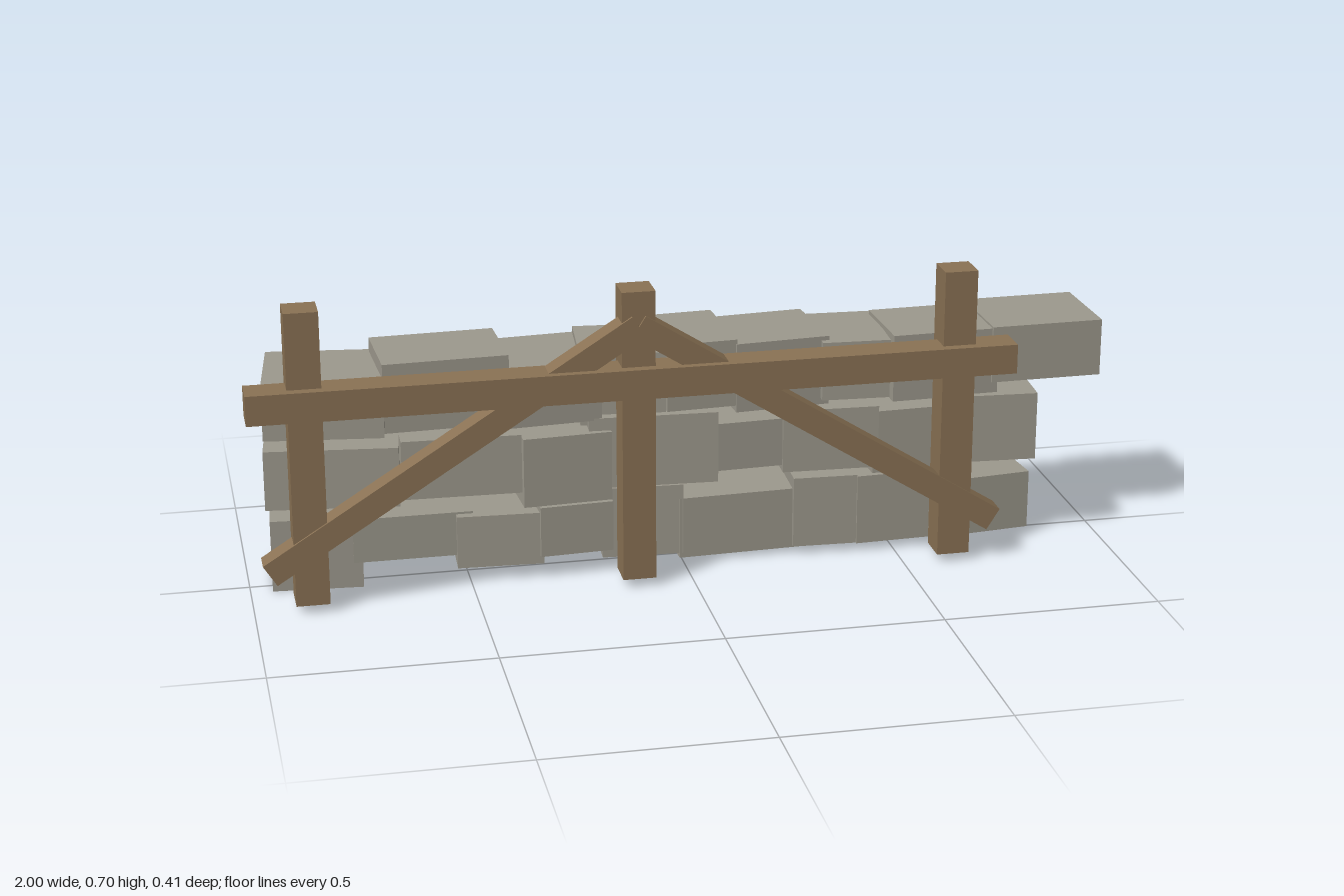
import * as THREE from 'three';

const stoneMat = new THREE.MeshStandardMaterial({ color: 0x9e9a8e });
stoneMat.name = 'grey stone';
const woodMat = new THREE.MeshStandardMaterial({ color: 0x8b7355 });
woodMat.name = 'brown wood';

// Each stone: x range, y range, z range of its bounds, and turn about y
const courses = {
  bottomStone: [
    [-0.95, -0.73, 0.0, 0.17, -0.165, 0.05, -0.07],
    [-0.765, -0.49, 0.06, 0.165, -0.2, 0.05, 0.0],
    [-0.53, -0.32, 0.035, 0.16, -0.16, 0.08, -0.05],
    [-0.355, -0.17, 0.055, 0.175, -0.17, 0.09, 0.06],
    [-0.19, 0.01, 0.025, 0.195, -0.18, 0.06, -0.05],
    [-0.02, 0.285, 0.013, 0.16, -0.195, 0.06, 0.04],
    [0.26, 0.42, 0.02, 0.19, -0.18, 0.07, -0.04],
    [0.4, 0.61, 0.02, 0.188, -0.185, 0.075, 0.04],
    [0.56, 0.835, 0.02, 0.16, -0.203, 0.08, 0.11],
  ],
  middleStone: [
    [-0.96, -0.635, 0.21, 0.35, -0.16, 0.1, -0.11],
    [-0.65, -0.37, 0.205, 0.345, -0.165, 0.06, -0.03],
    [-0.39, -0.17, 0.175, 0.34, -0.175, 0.08, 0.06],
    [-0.22, 0.09, 0.2, 0.37, -0.18, 0.07, -0.05],
    [0.07, 0.25, 0.22, 0.335, -0.185, 0.055, 0.05],
    [0.235, 0.47, 0.205, 0.355, -0.175, 0.065, -0.04],
    [0.44, 0.645, 0.185, 0.34, -0.18, 0.06, 0.04],
    [0.62, 0.855, 0.2, 0.363, -0.17, 0.075, -0.06],
  ],
  topStone: [
    [-0.957, -0.66, 0.37, 0.5, -0.187, 0.085, -0.12],
    [-0.695, -0.4, 0.37, 0.533, -0.155, 0.058, 0.04],
    [-0.43, -0.19, 0.365, 0.5, -0.19, 0.07, 0.07],
    [-0.235, -0.02, 0.345, 0.515, -0.185, 0.045, -0.09],
    [-0.05, 0.13, 0.37, 0.53, -0.195, 0.045, 0.06],
    [0.11, 0.35, 0.355, 0.52, -0.19, 0.04, 0.08],
    [0.33, 0.5, 0.37, 0.51, -0.18, 0.05, -0.05],
    [0.49, 0.75, 0.36, 0.52, -0.155, 0.055, 0.03],
    [0.73, 1.0, 0.39, 0.525, -0.172, 0.055, 0.02],
  ],
};

function box(name, mat, w, h, d, x, y, z) {
  const mesh = new THREE.Mesh(new THREE.BoxGeometry(w, h, d), mat);
  mesh.name = name;
  mesh.position.set(x, y, z);
  return mesh;
}

// A turned block whose outline fills the given bounds
function stone(name, [x0, x1, y0, y1, z0, z1, turn]) {
  const c = Math.cos(turn), s = Math.abs(Math.sin(turn));
  const W = x1 - x0, D = z1 - z0, k = c * c - s * s;
  const mesh = box(name, stoneMat, (W * c - D * s) / k, y1 - y0, (D * c - W * s) / k,
    (x0 + x1) / 2, (y0 + y1) / 2, (z0 + z1) / 2);
  mesh.rotation.y = turn;
  return mesh;
}

export function createModel() {
  const model = new THREE.Group();
  model.name = 'stoneWallWithFence';

  // Dry stone wall in three courses
  const wall = new THREE.Group();
  wall.name = 'stoneWall';
  for (const [name, list] of Object.entries(courses)) {
    for (const s of list) wall.add(stone(name, s));
  }

  // Timber fence in front of the wall
  const fence = new THREE.Group();
  fence.name = 'fence';
  const middle = -0.128;
  for (const side of [-1, 0, 1]) {
    fence.add(box('post', woodMat, 0.076, 0.685, 0.076, middle + side * 0.742, 0.3625, 0.142));
  }
  fence.add(box('rail', woodMat, 1.745, 0.069, 0.076, -0.1275, 0.496, 0.165));

  // Mirrored diagonal braces meeting at the middle post
  for (const side of [-1, 1]) {
    const dx = 0.835, dy = 0.525;
    const brace = box('brace', woodMat, Math.hypot(dx, dy), 0.057, 0.055,
      middle + side * dx / 2, 0.1 + dy / 2, 0.158);
    brace.rotation.z = -side * Math.atan2(dy, dx);
    fence.add(brace);
  }

  model.add(wall, fence);
  return model;
}
